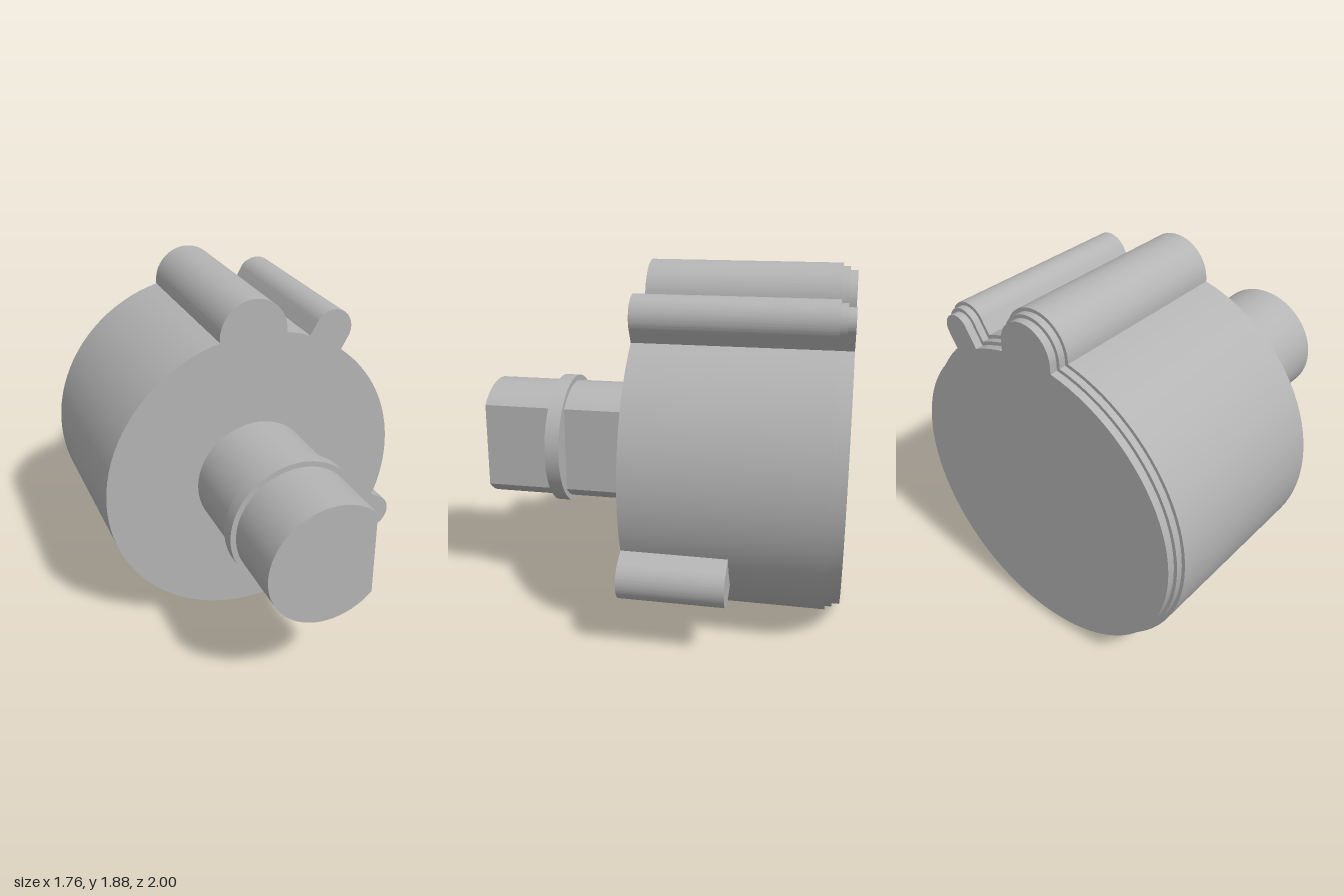
import * as THREE from 'three';
import { toCreasedNormals } from 'three/addons/utils/BufferGeometryUtils.js';

const CX = -0.03, CY = 0.85;   // main axis, parallel to z
const R = 0.85;                // housing radius
const deg = THREE.MathUtils.degToRad;

// Lobes on the rim: angle, distance of the rounded tip's centre, tip radius
const smallLobe = { a: deg(60), dist: 0.925, r: 0.11 };
const largeLobe = { a: deg(90), dist: 0.845, r: 0.19 };
const sideLobe = { a: deg(-30), dist: 0.92, r: 0.11 };

// Rounded tip of a lobe, drawn counter-clockwise
function addTip(shape, lobe, inset) {
  shape.absarc(lobe.dist * Math.cos(lobe.a), lobe.dist * Math.sin(lobe.a),
    lobe.r - inset, lobe.a - Math.PI / 2, lobe.a + Math.PI / 2, false);
}

// Housing outline with its two lobes, shrunk evenly by inset
function housingShape(inset) {
  const shape = new THREE.Shape();
  const lobes = [smallLobe, largeLobe];
  const half = lobes.map((l) => Math.asin((l.r - inset) / (R - inset)));
  lobes.forEach((lobe, i) => {
    const next = (i + 1) % lobes.length;
    const end = lobes[next].a - half[next] + (next === 0 ? Math.PI * 2 : 0);
    addTip(shape, lobe, inset);
    shape.absarc(0, 0, R - inset, lobe.a + half[i], end, false);
  });
  return shape;
}

// Side lobe outline, fitted to the housing wall
function sideLobeShape() {
  const shape = new THREE.Shape();
  const half = Math.asin(sideLobe.r / R);
  addTip(shape, sideLobe, 0);
  shape.absarc(0, 0, R, sideLobe.a + half, sideLobe.a - half, true);
  return shape;
}

// Round shaft with one flat on its left side
function shaftShape(r, flat) {
  const shape = new THREE.Shape();
  const a = Math.acos(flat / r);
  shape.absarc(0, 0, r, a, Math.PI * 2 - a, false);
  shape.closePath();
  return shape;
}

export function createModel() {
  const group = new THREE.Group();
  const grey = new THREE.MeshStandardMaterial({ color: 0xb4b4b4 });
  grey.name = 'plain grey';

  const extrude = (name, shape, z0, z1) => {
    const geometry = new THREE.ExtrudeGeometry(shape, {
      depth: z1 - z0, bevelEnabled: false, curveSegments: 40,
    });
    const mesh = new THREE.Mesh(toCreasedNormals(geometry, deg(25)), grey);
    mesh.name = name;
    mesh.position.set(CX, CY, z0);
    group.add(mesh);
  };

  // Housing and its two stepped rear rims
  extrude('housing', housingShape(0), -0.925, 0.09);
  extrude('rearStepOuter', housingShape(0.018), -0.96, -0.925);
  extrude('rearStepInner', housingShape(0.036), -1, -0.96);

  // Short lobe on the lower side
  extrude('sideLobe', sideLobeShape(), -0.45, 0.09);

  // Flatted shaft
  extrude('shaft', shaftShape(0.335, 0.24), 0.09, 1);

  // Collar around the shaft
  const collar = new THREE.Mesh(new THREE.CylinderGeometry(0.365, 0.365, 0.08, 80), grey);
  collar.name = 'collar';
  collar.rotation.x = Math.PI / 2;
  collar.position.set(CX, CY, 0.58);
  group.add(collar);

  return group;
}
